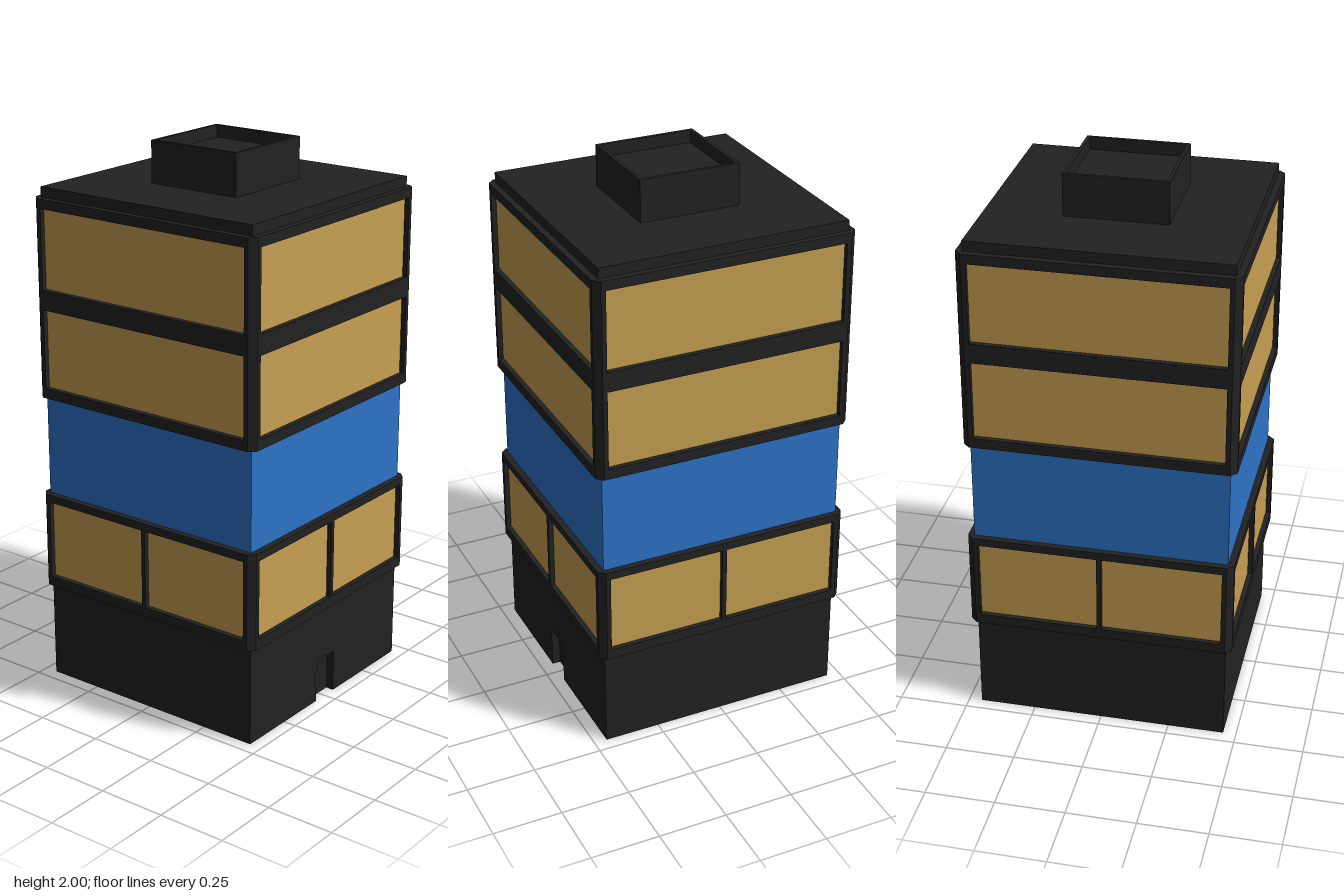
import * as THREE from 'three';

const CORE = 0.453;   // half width of the tower
const FACE = 0.476;   // half width across the frames

function material(name, color) {
  const m = new THREE.MeshStandardMaterial({ color });
  m.name = name;
  return m;
}

function rectPath(PathType, x0, y0, x1, y1) {
  const p = new PathType();
  p.moveTo(x0, y0);
  p.lineTo(x1, y0);
  p.lineTo(x1, y1);
  p.lineTo(x0, y1);
  p.closePath();
  return p;
}

export function createModel() {
  const dark = material('charcoal', 0x222222);
  const tan = material('warm panel', 0xc8a052);
  const blue = material('blue band', 0x2d74c9);
  const model = new THREE.Group();
  model.name = 'tower';

  function add(parent, name, geometry, mat, x = 0, y = 0, z = 0) {
    const mesh = new THREE.Mesh(geometry, mat);
    mesh.name = name;
    mesh.position.set(x, y, z);
    parent.add(mesh);
    return mesh;
  }

  function block(name, half, y0, y1, mat) {
    return add(model, name, new THREE.BoxGeometry(half * 2, y1 - y0, half * 2), mat, 0, (y0 + y1) / 2, 0);
  }

  // Plan outline raised between two heights
  function raise(name, shape, y0, y1) {
    const g = new THREE.ExtrudeGeometry(shape, { depth: y1 - y0, bevelEnabled: false });
    g.rotateX(-Math.PI / 2);
    return add(model, name, g, dark, 0, y0, 0);
  }

  // Ground floor with a door recess in the +x wall
  const doorHalf = 0.055, doorTop = 0.157, doorDepth = 0.03;
  const plan = new THREE.Shape([
    [-CORE, -CORE], [CORE, -CORE], [CORE, -doorHalf], [CORE - doorDepth, -doorHalf],
    [CORE - doorDepth, doorHalf], [CORE, doorHalf], [CORE, CORE], [-CORE, CORE],
  ].map(([x, y]) => new THREE.Vector2(x, y)));
  raise('groundFloor', plan, 0, doorTop);

  // Stacked tower blocks
  block('lowerCore', CORE, doorTop, 0.723, dark);
  block('blueBand', CORE, 0.723, 1.091, blue);
  block('upperCore', CORE, 1.091, 1.849, dark);

  // Rooftop box with a sunken top
  const rim = rectPath(THREE.Shape, -0.1825, -0.1825, 0.1825, 0.1825);
  rim.holes.push(rectPath(THREE.Path, -0.17, -0.17, 0.17, 0.17));
  raise('rooftopRim', rim, 1.849, 2);
  block('rooftopFloor', 0.17, 1.849, 1.955, dark);

  // Window rectangles of each framed storey group: [x0, y0, x1, y1]
  const W = 0.4365, M = 0.008;
  const bands = [
    { name: 'lower', y0: 0.366, y1: 0.723, windows: [[-W, 0.403, -M, 0.694], [M, 0.403, W, 0.694]] },
    { name: 'upper', y0: 1.091, y1: 1.812, windows: [[-W, 1.128, W, 1.416], [-W, 1.488, W, 1.777]] },
  ];

  for (const band of bands) {
    const frameShape = rectPath(THREE.Shape, -CORE, band.y0, CORE, band.y1);
    for (const w of band.windows) frameShape.holes.push(rectPath(THREE.Path, ...w));
    const frame = new THREE.ExtrudeGeometry(frameShape, { depth: FACE - CORE, bevelEnabled: false });

    // Triangular strip that closes the corner between two frames
    const wedge = new THREE.Shape();
    wedge.moveTo(CORE, -CORE);
    wedge.lineTo(CORE, -FACE);
    wedge.lineTo(FACE, -CORE);
    wedge.closePath();
    const corner = new THREE.ExtrudeGeometry(wedge, { depth: band.y1 - band.y0, bevelEnabled: false });
    corner.rotateX(-Math.PI / 2);

    for (let i = 0; i < 4; i++) {
      const side = new THREE.Group();
      side.name = band.name + 'Side' + (i + 1);
      side.rotation.y = i * Math.PI / 2;
      model.add(side);
      add(side, 'windowFrame', frame, dark, 0, 0, CORE);
      add(side, 'cornerStrip', corner, dark, 0, band.y0, 0);
      for (const [x0, y0, x1, y1] of band.windows) {
        add(side, 'windowPanel', new THREE.BoxGeometry(x1 - x0, y1 - y0, 0.006), tan,
          (x0 + x1) / 2, (y0 + y1) / 2, CORE + 0.002);
      }
    }
  }

  return model;
}
